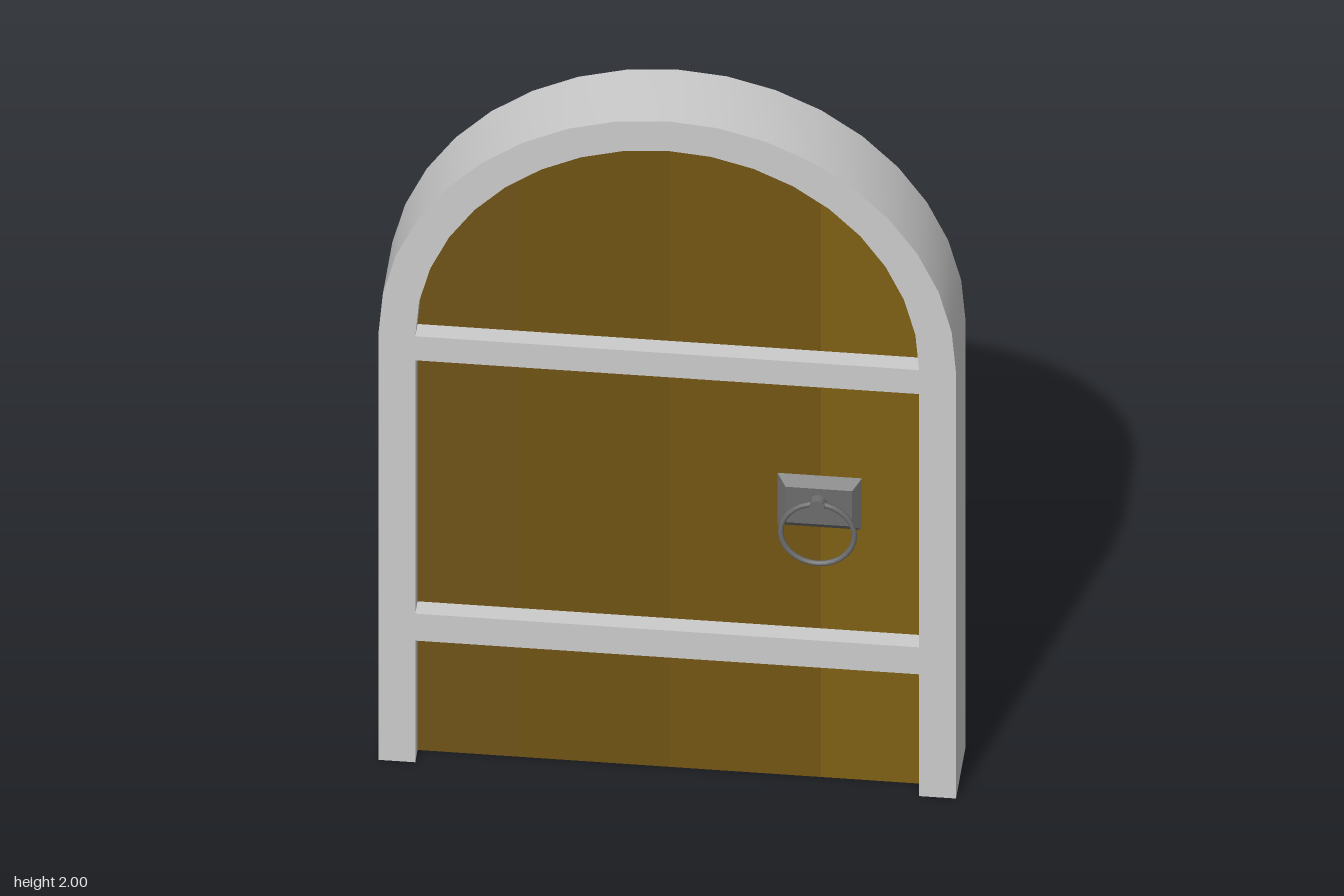
import * as THREE from 'three';
import { toCreasedNormals } from 'three/addons/utils/BufferGeometryUtils.js';

const OUTER = 0.705, INNER = 0.615, SPRING = 1.295; // arch radii and spring height
const DEPTH = 0.21, PANEL = 0.11;                   // frame and panel thickness

function extrude(shape, z0, z1) {
  const geo = new THREE.ExtrudeGeometry(shape, { depth: z1 - z0, bevelEnabled: false, curveSegments: 9 });
  geo.translate(0, 0, z0);
  return toCreasedNormals(geo, 0.5);
}

function add(parent, name, geo, color) {
  const mesh = new THREE.Mesh(geo, new THREE.MeshStandardMaterial({ color }));
  mesh.name = name;
  parent.add(mesh);
  return mesh;
}

function rectPath(x0, y0, x1, y1) {
  return new THREE.Path().moveTo(x0, y0).lineTo(x1, y0).lineTo(x1, y1).lineTo(x0, y1).closePath();
}

// Outline of the arch between x0 and x1, following the same 10 degree facets
function archSlice(x0, x1) {
  const facets = Array.from({ length: 19 }, (_, i) => {
    const a = Math.PI * (1 - i / 18);
    return new THREE.Vector2(INNER * Math.cos(a), SPRING + INNER * Math.sin(a));
  });
  const topAt = (x) => {
    const i = Math.max(1, facets.findIndex((p) => p.x >= x - 1e-6));
    const a = facets[i - 1], b = facets[i];
    return a.y + (b.y - a.y) * (x - a.x) / (b.x - a.x);
  };
  const top = [new THREE.Vector2(x0, topAt(x0)),
    ...facets.filter((p) => p.x > x0 + 1e-4 && p.x < x1 - 1e-4),
    new THREE.Vector2(x1, topAt(x1))];
  return new THREE.Shape([new THREE.Vector2(x1, 0), ...top.reverse(), new THREE.Vector2(x0, 0)]);
}

export function createModel() {
  const door = new THREE.Group();
  door.name = 'archedDoor';

  // Stone-grey frame with two flush cross rails, open at the bottom
  const frame = new THREE.Shape();
  frame.moveTo(INNER, 0).lineTo(OUTER, 0).lineTo(OUTER, SPRING);
  frame.absarc(0, SPRING, OUTER, 0, Math.PI, false);
  frame.lineTo(-OUTER, 0).lineTo(-INNER, 0).lineTo(-INNER, 0.37).lineTo(INNER, 0.37).closePath();
  frame.holes.push(rectPath(-INNER, 0.452, INNER, 1.222));
  const lunette = new THREE.Path();
  lunette.moveTo(INNER, SPRING);
  lunette.absarc(0, SPRING, INNER, 0, Math.PI, false);
  lunette.closePath();
  frame.holes.push(lunette);
  add(door, 'frameAndRails', extrude(frame, -DEPTH / 2, DEPTH / 2), 0xcccccc);

  // Wooden panel: plain at the back, four boards on the front
  const face = PANEL / 2;
  add(door, 'panelBack', extrude(archSlice(-INNER, INNER), -face, face - 0.01), 0x745716);
  const edges = [-INNER, -0.37, 0, 0.37, INNER];
  const shades = [0x6f5316, 0x705314, 0x735513, 0x7e5f14];
  shades.forEach((shade, i) =>
    add(door, 'board' + (i + 1), extrude(archSlice(edges[i], edges[i + 1]), face - 0.01, face), shade));

  // Handle: bevelled plate, boss and hanging ring
  const handle = new THREE.Group();
  handle.name = 'handle';
  handle.position.set(0.367, 0.838, face);
  door.add(handle);
  const metal = 0x6c6c6c;
  const plate = new THREE.BoxGeometry(0.206, 0.156, 0.022);
  plate.translate(0, 0, 0.011);
  const p = plate.attributes.position;
  for (let i = 0; i < p.count; i++) {
    if (p.getZ(i) > 0.01) p.setXY(i, p.getX(i) * 0.79, p.getY(i) * 0.69);
  }
  plate.computeVertexNormals();
  add(handle, 'plate', plate, metal);

  const boss = add(handle, 'ringBoss', new THREE.CylinderGeometry(0.018, 0.022, 0.024, 10), metal);
  boss.rotation.x = Math.PI / 2;
  boss.position.set(-0.002, 0.014, 0.03);

  const ring = add(handle, 'ring', new THREE.TorusGeometry(0.09, 0.007, 8, 28), metal);
  ring.position.set(-0.002, -0.073, 0.034);
  return door;
}
